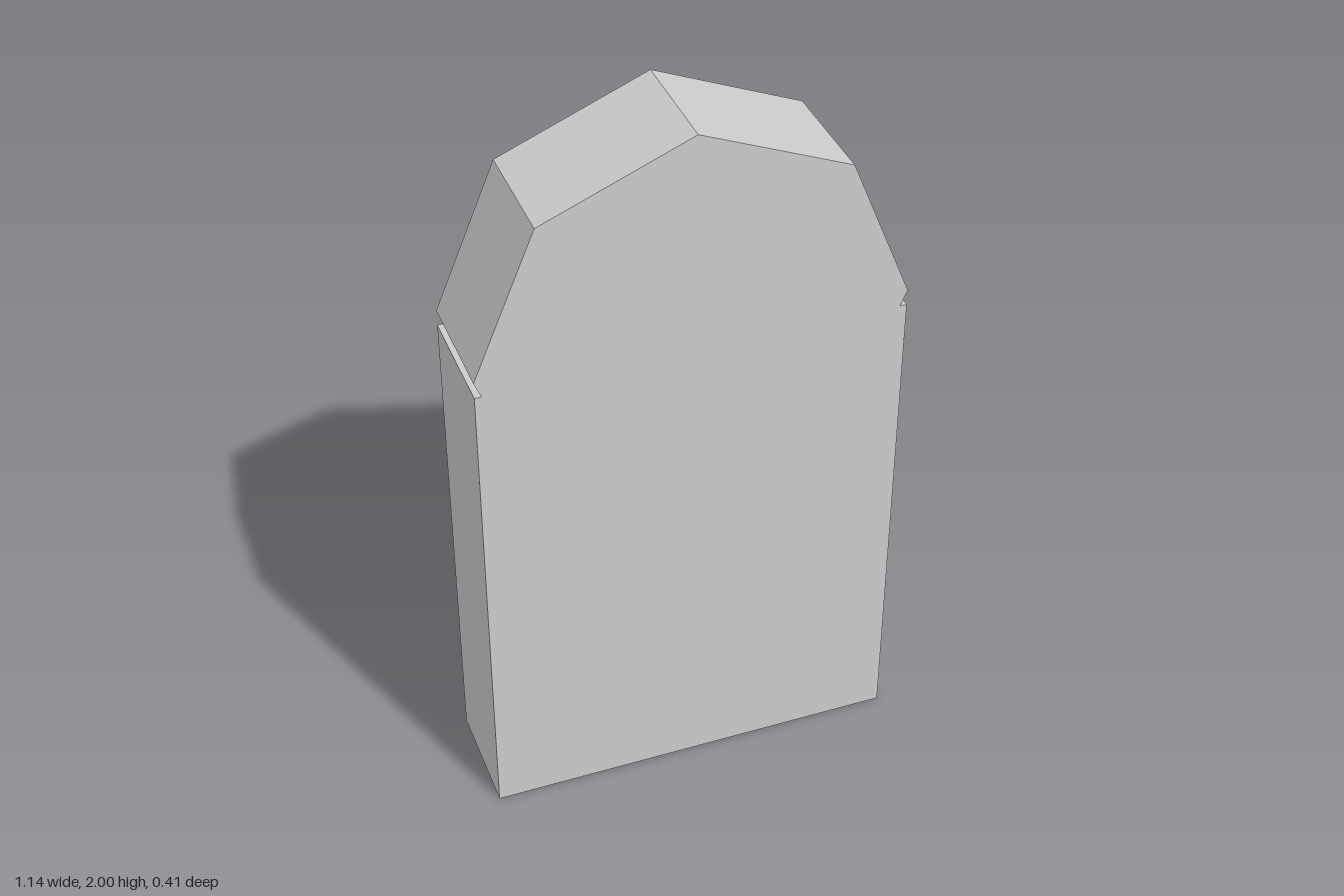
import * as THREE from 'three';

// Extrudes a symmetric outline (right half given, bottom to top) from z0 to z1
function plate(name, half, z0, z1, material) {
  const mirrored = half.filter(([x]) => x > 0).reverse().map(([x, y]) => [-x, y]);
  const shape = new THREE.Shape([...half, ...mirrored].map(([x, y]) => new THREE.Vector2(x, y)));
  const geometry = new THREE.ExtrudeGeometry(shape, { depth: z1 - z0, bevelEnabled: false });
  geometry.translate(0, 0, z0);
  const mesh = new THREE.Mesh(geometry, material);
  mesh.name = name;
  return mesh;
}

export function createModel() {
  const group = new THREE.Group();
  group.name = 'gravestone';
  const stone = new THREE.MeshStandardMaterial({ color: 0xcccccc, flatShading: true });

  // Slab: straight body, small notch, then the upper part of an octagon
  const radius = 0.57, centerY = 1.43, bodyTop = 1.386;
  const corner = radius * Math.SQRT1_2;
  const notchX = radius - (centerY - bodyTop) * (radius - corner) / corner;
  group.add(plate('slab', [
    [radius, 0], [radius, bodyTop], [notchX, bodyTop],
    [radius, centerY], [corner, centerY + corner], [0, centerY + radius],
  ], -0.12, 0.205, stone));

  // Raised cross on the back face
  const w = 0.08, arm = 0.408, y = 0.942;
  group.add(plate('cross', [
    [w, y - arm], [w, y - w], [arm, y - w], [arm, y + w], [w, y + w], [w, y + arm],
  ], -0.205, -0.12, stone));

  return group;
}
